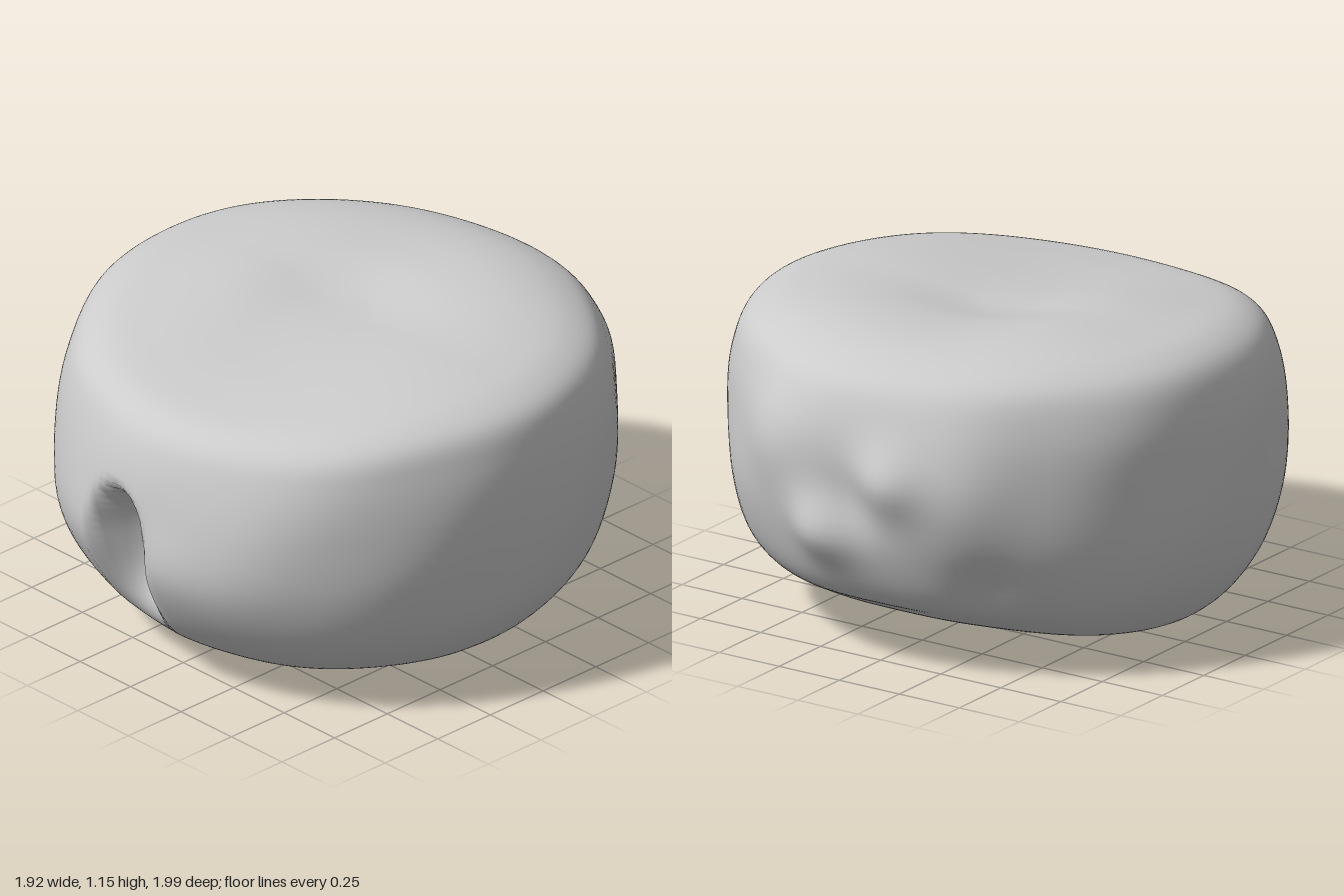
import * as THREE from 'three';
import { mergeVertices } from 'three/addons/utils/BufferGeometryUtils.js';

// Side profiles [radius, height] from the top centre down to the bottom centre.
const profiles = {
  left: [[0, 1.08], [0.12, 1.083], [0.4, 1.11], [0.65, 1.11], [0.81, 1.085], [0.9, 1.03], [0.94, 0.92],
    [0.96, 0.75], [0.945, 0.5], [0.88, 0.26], [0.74, 0.1], [0.58, 0.04], [0.3, 0.01], [0.12, 0], [0, 0]],
  front: [[0, 1.08], [0.12, 1.078], [0.38, 1.06], [0.64, 1.035], [0.83, 1.0], [0.9, 0.95], [0.945, 0.86],
    [0.985, 0.68], [0.985, 0.45], [0.91, 0.27], [0.8, 0.14], [0.64, 0.07], [0.3, 0.04], [0.12, 0.01], [0, 0]],
  right: [[0, 1.08], [0.12, 1.085], [0.4, 1.13], [0.65, 1.125], [0.81, 1.1], [0.9, 1.04], [0.95, 0.9],
    [0.96, 0.68], [0.94, 0.42], [0.88, 0.23], [0.76, 0.09], [0.6, 0.05], [0.3, 0.01], [0.12, 0], [0, 0]],
  back: [[0, 1.08], [0.12, 1.085], [0.35, 1.12], [0.6, 1.125], [0.76, 1.09], [0.86, 1.03], [0.92, 0.9],
    [0.94, 0.7], [0.93, 0.46], [0.84, 0.26], [0.72, 0.19], [0.55, 0.11], [0.3, 0.04], [0.12, 0.01], [0, 0]],
};
const sides = ['left', 'front', 'right', 'back'].map(
  (name) => new THREE.CatmullRomCurve3(profiles[name].map(([r, y]) => new THREE.Vector3(r, y, 0))));

// Extra fullness of the outline on the four diagonals, starting at front left.
const fullness = [0.02, -0.005, -0.015, 0];

// Bumps and dents on the wall: x, y, z, radius, height.
const lumps = [
  [-0.15, 0.72, -0.94, 0.12, 0.06], [0.12, 0.5, -0.94, 0.12, 0.06], [0, 0.62, -0.94, 0.12, -0.03],
  [-0.48, 0.32, -0.8, 0.13, -0.03], [-0.4, 0.68, -0.86, 0.2, 0.05], [0.32, 0.76, -0.89, 0.2, 0.045],
  [-0.52, 0.55, 0.83, 0.25, 0.02], [0.42, 0.5, 0.9, 0.25, 0.01],
  [-0.25, 0.5, 0.97, 0.14, 0.015], [0.14, 0.5, 0.98, 0.14, 0.015],
];

// Shallow swellings of the top face: x, z, radius, height.
const swellings = [[-0.4, -0.3, 0.3, 0.02], [0.35, -0.35, 0.3, 0.015]];

const smooth = THREE.MathUtils.smoothstep;

// Depth of the front hollow: an arched roof above a floor that slopes out downwards.
function hollowDepth(x, y, z) {
  if (z < 0.5) return 0;
  const across = smooth(x, -0.26, -0.08) * (1 - smooth(x, -0.05, 0.06));
  const roof = 0.75 - 5 * (x + 0.09) ** 2;
  const down = smooth(y, 0.1, 0.56) * (1 - smooth(y, roof - 0.2, roof));
  return 0.3 * across * down;
}

function bodyPoint(angle, t) {
  const p = new THREE.Vector3();
  const c = Math.cos(angle), s = Math.sin(angle);
  const weights = [c, s, -c, -s].map((w) => Math.max(0, w) ** 2);
  let r = 0, y = 0;
  sides.forEach((curve, i) => {
    curve.getPoint(t, p);
    r += p.x * weights[i];
    y += p.y * weights[i];
  });
  const quadrant = Math.floor(angle / (Math.PI / 2)) % 4;
  r *= 1 + fullness[quadrant] * Math.sin(2 * angle) ** 2;
  // gentle unevenness of the worn surface
  r *= 1 + 0.006 * Math.sin(7 * angle + 5 * y) * Math.sin(4 * y + 2 * angle);
  p.set(r * c, y, r * s);
  let push = 0;
  for (const [lx, ly, lz, radius, height] of lumps) {
    const d2 = (p.x - lx) ** 2 + (p.y - ly) ** 2 + (p.z - lz) ** 2;
    push += height * Math.exp(-d2 / (radius * radius));
  }
  for (const [lx, lz, radius, height] of swellings) {
    const d2 = (p.x - lx) ** 2 + (p.z - lz) ** 2;
    p.y += height * smooth(y, 0.9, 1.05) * Math.exp(-d2 / (radius * radius));
  }
  p.x += push * c;
  p.z += push * s;
  p.z -= hollowDepth(p.x, p.y, p.z);
  return p;
}

// Closed skin lofted around the vertical axis.
function createBody() {
  const around = 180, down = 96;
  const positions = [], indices = [];
  for (let j = 0; j <= down; j++) {
    for (let i = 0; i < around; i++) {
      positions.push(...bodyPoint((i / around) * Math.PI * 2, j / down).toArray());
    }
  }
  for (let j = 0; j < down; j++) {
    for (let i = 0; i < around; i++) {
      const k = (i + 1) % around;
      const a = j * around + i, b = j * around + k;
      const d = a + around, e = b + around;
      if (j > 0) indices.push(a, b, d);
      if (j < down - 1) indices.push(b, e, d);
    }
  }
  let geometry = new THREE.BufferGeometry();
  geometry.setAttribute('position', new THREE.Float32BufferAttribute(positions, 3));
  geometry.setIndex(indices);
  geometry = mergeVertices(geometry, 1e-5);
  geometry.computeVertexNormals();
  return geometry;
}

export function createModel() {
  const group = new THREE.Group();
  const body = new THREE.Mesh(createBody(), new THREE.MeshStandardMaterial({ color: 0xcccccc }));
  body.name = 'hollowedStone';
  group.add(body);
  return group;
}
